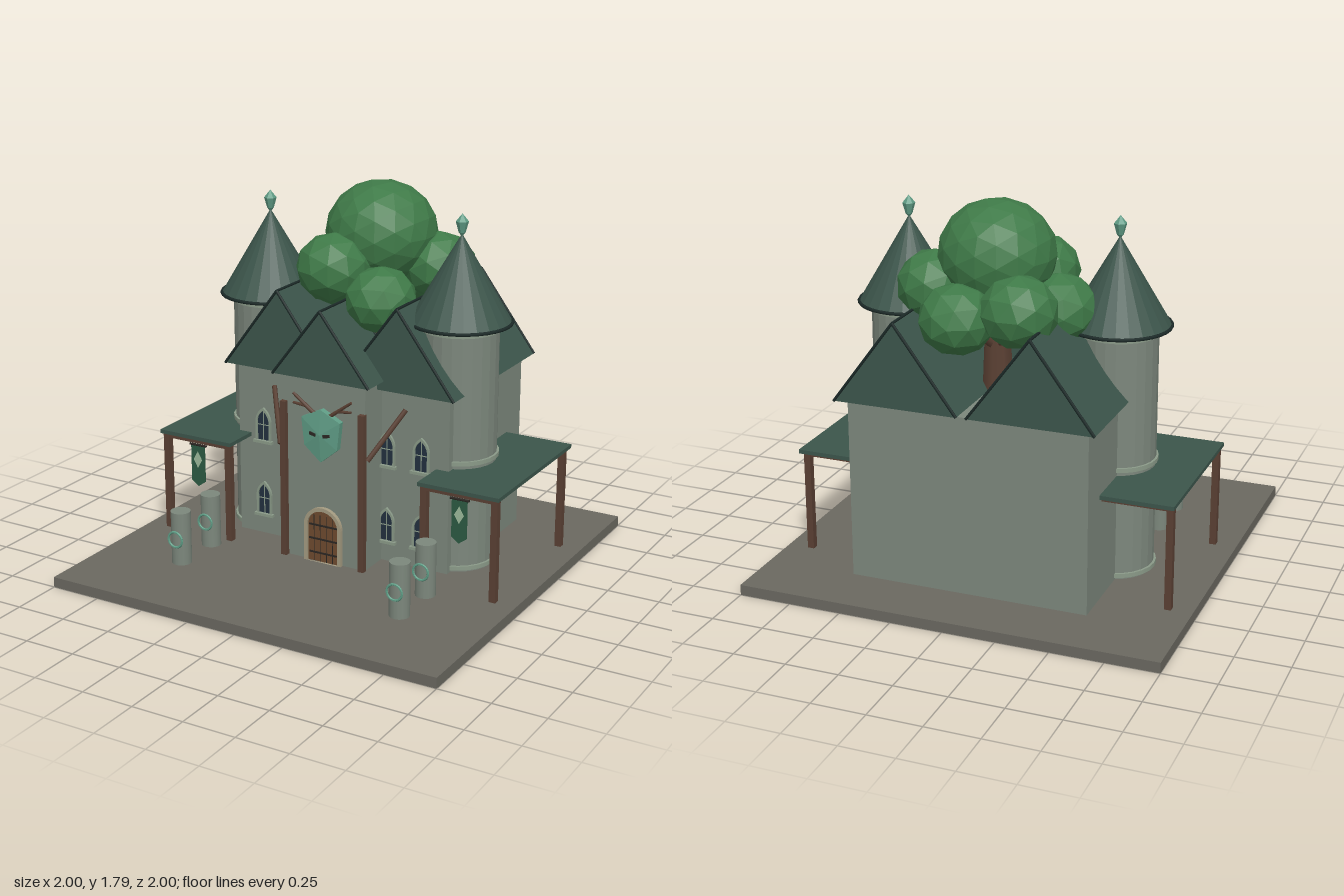
import * as THREE from 'three';

const mat = (color, flat = false) => new THREE.MeshStandardMaterial({ color, flatShading: flat, side: THREE.DoubleSide });
const M = {
  ground: mat(0x6a6860), wall: mat(0x7c877c), tower: mat(0x7c877c, true), stone: mat(0x8a9a88),
  roof: mat(0x3c554b, true), trim: mat(0x1c2a28), wood: mat(0x5a4033), door: mat(0x6e4a2e),
  iron: mat(0x2b2622), arch: mat(0xa39a80), glass: mat(0x22303f), leaf: mat(0x3f7a48, true),
  teal: mat(0x5f9c85, true), banner: mat(0x2c5a42), emblem: mat(0x9cba9a),
};

export function createModel() {
  const root = new THREE.Group();

  const add = (name, geo, m, x = 0, y = 0, z = 0, parent = root) => {
    const mesh = new THREE.Mesh(geo, m);
    mesh.name = name;
    mesh.position.set(x, y, z);
    parent.add(mesh);
    return mesh;
  };
  // box given by its limits on each axis
  const block = (name, m, x0, x1, y0, y1, z0, z1, parent = root) =>
    add(name, new THREE.BoxGeometry(x1 - x0, y1 - y0, z1 - z0), m, (x0 + x1) / 2, (y0 + y1) / 2, (z0 + z1) / 2, parent);
  // round or square bar between two points
  const bar = (name, m, a, b, r0, r1 = r0, sides = 6, parent = root) => {
    const p = new THREE.Vector3(...a), q = new THREE.Vector3(...b), d = q.clone().sub(p);
    const mesh = add(name, new THREE.CylinderGeometry(r1, r0, d.length(), sides), m, 0, 0, 0, parent);
    mesh.position.copy(p).add(q).multiplyScalar(0.5);
    mesh.quaternion.setFromUnitVectors(new THREE.Vector3(0, 1, 0), d.normalize());
    return mesh;
  };
  const group = (name, x = 0, y = 0, z = 0) => {
    const g = new THREE.Group();
    g.name = name;
    g.position.set(x, y, z);
    root.add(g);
    return g;
  };
  const extrude = (shape, depth) => new THREE.ExtrudeGeometry(shape, { depth, bevelEnabled: false, curveSegments: 10 });
  const polygon = (pts) => new THREE.Shape(pts.map(([x, y]) => new THREE.Vector2(x, y)));
  // pointed or round arch outline standing on y = 0
  const arch = (w, h, spring, pointed) => {
    const s = new THREE.Shape();
    s.moveTo(-w, 0);
    s.lineTo(w, 0);
    s.lineTo(w, spring);
    if (pointed) {
      s.quadraticCurveTo(w * 0.9, spring + (h - spring) * 0.6, 0, h);
      s.quadraticCurveTo(-w * 0.9, spring + (h - spring) * 0.6, -w, spring);
    } else s.absellipse(0, spring, w, h - spring, 0, Math.PI, false, 0);
    s.closePath();
    return s;
  };

  // Ground and walls
  block('ground', M.ground, -1, 1, 0, 0.05, -1, 1);
  block('mainHall', M.wall, -0.57, 0.57, 0.02, 0.9, -0.71, 0.06);
  block('gatehouse', M.wall, -0.22, 0.22, 0.02, 0.95, 0, 0.22);

  // Gabled roofs with dark verge and ridge trim
  const gable = (name, x, half, y0, y1, z0, z1) => {
    const g = group(name, x, 0, 0);
    add('roofPrism', extrude(polygon([[-half, y0], [half, y0], [0, y1]]), z1 - z0), M.roof, 0, 0, z0, g);
    bar('ridgeTrim', M.trim, [0, y1, z0], [0, y1, z1], 0.007, 0.007, 6, g);
    for (const z of [z0, z1]) for (const s of [-1, 1])
      bar('vergeTrim', M.trim, [s * half, y0, z], [0, y1, z], 0.007, 0.007, 6, g);
  };
  gable('leftRoof', 0.318, 0.295, 0.915, 1.31, -0.76, 0.11);
  gable('rightRoof', -0.318, 0.295, 0.915, 1.31, -0.76, 0.11);
  gable('gateRoof', 0, 0.255, 0.96, 1.29, -0.04, 0.255);

  // Windows in two rows
  const makeWindow = (x, y) => {
    const g = group('window', x, y, 0.058);
    const frame = arch(0.042, 0.168, 0.1, true);
    frame.holes.push(arch(0.032, 0.152, 0.1, true));
    add('windowFrame', extrude(frame, 0.014), M.stone, 0, 0, 0, g);
    add('windowGlass', extrude(arch(0.033, 0.154, 0.1, true), 0.006), M.glass, 0, 0, 0, g);
    block('mullion', M.stone, -0.002, 0.002, 0, 0.15, 0.004, 0.009, g);
    block('crossbar', M.stone, -0.032, 0.032, 0.078, 0.082, 0.004, 0.009, g);
    block('windowSill', M.stone, -0.052, 0.052, -0.012, 0.002, 0, 0.022, g);
  };

  for (const s of [-1, 1]) {
    for (const x of [0.25, 0.43]) for (const y of [0.155, 0.535]) makeWindow(s * x, y);

    // Round towers
    const t = group(s > 0 ? 'leftTower' : 'rightTower', s * 0.51, 0, -0.15);
    add('towerShaft', new THREE.CylinderGeometry(0.183, 0.183, 1.2, 24), M.tower, 0, 0.63, 0, t);
    for (const y of [0.07, 0.59, 1.2])
      add('towerBand', new THREE.CylinderGeometry(0.194, 0.194, 0.02, 24), M.stone, 0, y, 0, t);
    add('towerRoof', new THREE.ConeGeometry(0.24, 0.41, 24), M.roof, 0, 1.425, 0, t);
    add('towerEave', new THREE.TorusGeometry(0.24, 0.008, 6, 32).rotateX(Math.PI / 2), M.trim, 0, 1.223, 0, t);
    const finial = [[0, 1.615], [0.016, 1.635], [0.03, 1.685], [0, 1.722]].map(([r, y]) => new THREE.Vector2(r, y));
    add('finial', new THREE.LatheGeometry(finial, 6), M.teal, 0, 0, 0, t);

    // Side canopies on posts
    const c = group(s > 0 ? 'leftCanopy' : 'rightCanopy');
    const cx = s * 0.708;
    block('canopyRoof', M.roof, cx - 0.203, cx + 0.203, 0.543, 0.562, -0.56, 0.247, c);
    for (const z of [-0.515, 0.22]) {
      for (const x of [0.53, 0.885])
        block('canopyPost', M.wood, s * x - 0.016, s * x + 0.016, 0.01, 0.543, z - 0.016, z + 0.016, c);
      block('canopyBeam', M.wood, cx - 0.19, cx + 0.19, 0.522, 0.543, z - 0.012, z + 0.012, c);
    }

    // Hanging banners
    const b = group('banner', s * 0.708, 0, 0.222);
    add('bannerCloth', extrude(polygon([[-0.038, 0.505], [-0.038, 0.325], [0, 0.297], [0.038, 0.325], [0.038, 0.505]]), 0.008), M.banner, 0, 0, -0.004, b);
    add('bannerEmblem', extrude(polygon([[-0.024, 0.435], [0, 0.393], [0.024, 0.435], [0, 0.477]]), 0.012), M.emblem, 0, 0, -0.006, b);
    bar('bannerRod', M.iron, [-0.048, 0.51, 0], [0.048, 0.51, 0], 0.006, 0.006, 6, b);

    // Gate posts with diagonal braces
    block('gatePost', M.wood, s * 0.21 - 0.015, s * 0.21 + 0.015, 0.01, 0.825, 0.215, 0.245);
    bar('gateBrace', M.wood, [s * 0.235, 0.605, 0.225], [s * 0.355, 0.83, 0.08], 0.012);

    // Antlers behind the shield
    bar('antler', M.wood, [s * 0.04, 0.79, 0.235], [s * 0.155, 0.875, 0.235], 0.011, 0.007);
    bar('antlerTine', M.wood, [s * 0.085, 0.822, 0.235], [s * 0.155, 0.828, 0.235], 0.008, 0.006);

    // Stone pillars with ring ornaments
    for (const z of [0.307, 0.555]) {
      const p = group('pillar', s * 0.585, 0, z);
      add('pillarShaft', new THREE.CylinderGeometry(0.048, 0.048, 0.26, 16), M.wall, 0, 0.18, 0, p);
      add('pillarRing', new THREE.TorusGeometry(0.038, 0.006, 6, 20), M.teal, 0, 0.18, 0.05, p);
    }
  }

  // Arched gate door
  const d = group('gateDoor', 0, 0.05, 0.218);
  const surround = arch(0.1, 0.278, 0.18, false);
  surround.holes.push(arch(0.082, 0.26, 0.18, false));
  add('doorSurround', extrude(surround, 0.022), M.arch, 0, 0, 0, d);
  add('doorLeaf', extrude(arch(0.083, 0.262, 0.18, false), 0.01), M.door, 0, 0, 0, d);
  for (const x of [-0.05, -0.017, 0.017, 0.05]) block('plankJoint', M.iron, x - 0.0015, x + 0.0015, 0, 0.235, 0.008, 0.0115, d);
  for (const y of [0.045, 0.115, 0.185]) block('doorStrap', M.iron, -0.075, 0.075, y - 0.004, y + 0.004, 0.008, 0.015, d);

  // Mask shield: a faceted fan rising to its middle
  const outline = [[0, 0.82], [-0.103, 0.77], [-0.088, 0.635], [0, 0.562], [0.088, 0.635], [0.103, 0.77]];
  const tris = [];
  outline.forEach(([x, y], i) => {
    const [u, v] = outline[(i + 1) % outline.length];
    tris.push(x, y, 0, u, v, 0, 0, 0.7, 0.014);
  });
  const face = new THREE.BufferGeometry();
  face.setAttribute('position', new THREE.Float32BufferAttribute(tris, 3));
  face.computeVertexNormals();
  add('shieldFace', face, M.teal, 0, 0, 0.25);
  add('shieldBody', extrude(polygon(outline), 0.03), M.teal, 0, 0, 0.22);
  for (const s of [-1, 1]) {
    const eye = add('shieldEye', new THREE.BoxGeometry(0.034, 0.014, 0.014), M.iron, s * 0.036, 0.7, 0.258);
    eye.rotation.z = s * 0.2;
  }

  // Tree growing between the roofs
  const tree = group('tree');
  bar('trunk', M.wood, [0, 0.85, -0.33], [0, 1.45, -0.33], 0.078, 0.05, 8, tree);
  const crowns = [
    [0, 1.545, -0.328, 0.268], [-0.11, 1.41, -0.07, 0.182], [0.14, 1.29, -0.065, 0.172], [0.265, 1.395, -0.41, 0.178],
    [-0.28, 1.31, -0.295, 0.178], [-0.19, 1.36, -0.555, 0.178], [0.08, 1.31, -0.6, 0.175],
  ];
  crowns.forEach(([x, y, z, r], i) => {
    const crown = add('leafCrown', new THREE.IcosahedronGeometry(r, 2 - (i > 0)), M.leaf, x, y, z, tree);
    crown.scale.y = 0.92;
    crown.rotation.y = i * 0.9;
    if (i) bar('branch', M.wood, [0, 1.1, -0.33], [x * 0.8, y - 0.03, -0.33 + (z + 0.33) * 0.8], 0.024, 0.014, 6, tree);
  });
  return root;
}
